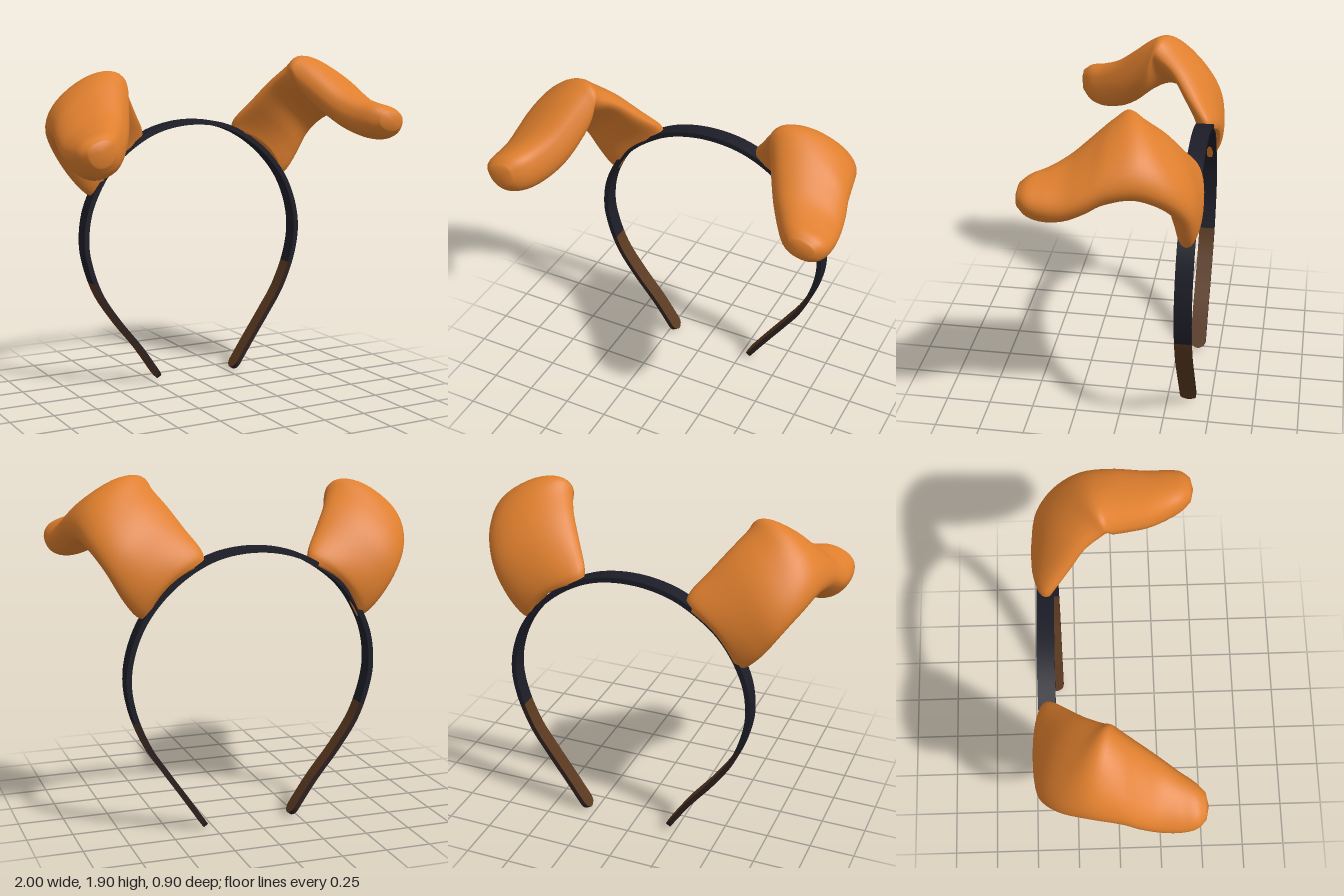
import * as THREE from 'three';
import { toCreasedNormals } from 'three/addons/utils/BufferGeometryUtils.js';

const mat = (name, color) => {
  const m = new THREE.MeshStandardMaterial({ color });
  m.name = name;
  return m;
};

// Centre line of the headband in x, y
const BAND = [
  [-0.2, 0.02], [-0.33, 0.212], [-0.47, 0.39], [-0.58, 0.56], [-0.643, 0.74], [-0.66, 0.87],
  [-0.63, 1.06], [-0.5, 1.29], [-0.3, 1.445], [-0.15, 1.502], [0.02, 1.522], [0.2, 1.5],
  [0.35, 1.437], [0.5, 1.325], [0.62, 1.18], [0.69, 1.02], [0.715, 0.86], [0.69, 0.69],
  [0.61, 0.49], [0.52, 0.35], [0.4, 0.175], [0.29, 0.01],
];
const BAND_Z = -0.37;

// Ear sections: centre x y z | slope of width, half width, half thickness | fold angle, twist
const EAR = [
  [0.452, 1.321, -0.37, 0.71, 0.218, 0.06, 0, 0],
  [0.483, 1.37, -0.365, 0.71, 0.245, 0.075, 0, 0.06],
  [0.55, 1.465, -0.335, 0.71, 0.255, 0.085, 0.15, 0.22],
  [0.625, 1.59, -0.285, 0.7, 0.262, 0.09, 0.4, 0.38],
  [0.685, 1.685, -0.195, 0.65, 0.26, 0.105, 0.8, 0.4],
  [0.715, 1.735, -0.1, 0.58, 0.25, 0.118, 1.2, 0.2],
  [0.737, 1.705, 0, 0.52, 0.242, 0.116, 1.5, 0],
  [0.775, 1.64, 0.1, 0.47, 0.22, 0.106, 1.57, 0],
  [0.81, 1.583, 0.2, 0.41, 0.192, 0.098, 1.57, 0],
  [0.845, 1.556, 0.3, 0.33, 0.155, 0.092, 1.57, 0],
  [0.865, 1.555, 0.38, 0.27, 0.118, 0.078, 1.57, 0],
  [0.87, 1.556, 0.43, 0.22, 0.07, 0.046, 1.57, 0],
];

// Rectangular strip along the path between t0 and t1; group 0 = broad faces, group 1 = edges
function bandGeometry(path, t0, t1, steps) {
  const rings = [];
  for (let i = 0; i <= steps; i++) {
    const t = t0 + (t1 - t0) * (i / steps);
    const p = path.getPointAt(t), d = path.getTangentAt(t);
    const n = new THREE.Vector3(-d.y, d.x, 0).multiplyScalar(0.014);
    // rounded tips
    const e = Math.min(1, Math.min(t, 1 - t) / 0.012);
    const h = 0.046 * Math.sqrt(Math.max(0.04, 1 - (1 - e) ** 2));
    rings.push([[1, 1], [1, -1], [-1, -1], [-1, 1]].map(([a, b]) =>
      new THREE.Vector3(p.x + a * n.x, p.y + a * n.y, BAND_Z + b * h)));
  }
  const pts = [];
  const quad = (a, b, c, d) => pts.push(a, b, c, a, c, d);
  const side = (k) => {
    for (let i = 0; i < steps; i++) {
      const r = rings[i], s = rings[i + 1], m = (k + 1) % 4;
      quad(r[k], s[k], s[m], r[m]);
    }
  };
  side(0); side(2);
  const broad = pts.length;
  side(1); side(3);
  quad(...rings[0]);
  quad(...rings[steps].slice().reverse());
  const g = toCreasedNormals(new THREE.BufferGeometry().setFromPoints(pts), 0.6);
  g.addGroup(0, broad, 0);
  g.addGroup(broad, pts.length - broad, 1);
  return g;
}

// Smooth folded ear lofted through the sections; sag thickens the underside of the flap
function earGeometry(mirrored, sag) {
  const spline = (f) => new THREE.CatmullRomCurve3(
    EAR.map((s) => new THREE.Vector3(...f(s))), false, 'catmullrom');
  const centre = spline((s) => s.slice(0, 3));
  const size = spline((s) => s.slice(3, 6));
  const turn = spline((s) => [s[6], s[7], 0]);
  const rows = 55, cols = 36, pos = [], idx = [];
  const full = (v) => Math.sign(v) * Math.abs(v) ** 0.88;

  // the opposite ear is mirrored and tipped a little about the band's middle
  const put = (v) => {
    if (mirrored) {
      const x = -(v.x - 0.028), y = v.y - 0.86, c = Math.cos(0.1), s = Math.sin(0.1);
      v.set(0.028 + x * c - y * s, 0.86 + x * s + y * c, v.z - 0.006);
    }
    pos.push(v.x, v.y, v.z);
  };
  const tri = (a, b, c) => (mirrored ? idx.push(a, c, b) : idx.push(a, b, c));

  for (let i = 0; i <= rows; i++) {
    const t = i / rows, c = centre.getPoint(t), s = size.getPoint(t), q = turn.getPoint(t);
    const w = new THREE.Vector3(Math.cos(s.x), -Math.sin(s.x), -q.y).normalize();
    const up = new THREE.Vector3(Math.sin(s.x), Math.cos(s.x), 0);
    const th = up.clone().multiplyScalar(Math.sin(q.x));
    th.z = -Math.cos(q.x);
    const cup = 0.025 * Math.max(0, Math.sin(Math.PI * t / 0.6));
    const bow = 0.06 * Math.max(0, 1 - t / 0.35); // base follows the band's arch
    const under = 1 + sag * THREE.MathUtils.smoothstep(t, 0.4, 0.7);
    for (let j = 0; j < cols; j++) {
      const a = (j / cols) * Math.PI * 2, cx = full(Math.cos(a)), cy = full(Math.sin(a));
      put(c.clone().addScaledVector(w, s.y * cx)
        .addScaledVector(th, s.z * cy * (cy < 0 ? under : 1) - cup * (cx * cx - 0.5))
        .addScaledVector(up, bow * (1 - cx * cx)));
    }
  }
  for (let i = 0; i < rows; i++) for (let j = 0; j < cols; j++) {
    const a = i * cols + j, b = i * cols + (j + 1) % cols;
    tri(a, b, b + cols);
    tri(a, b + cols, a + cols);
  }
  // close the base and the tip
  const base = pos.length / 3, last = rows * cols;
  put(new THREE.Vector3(0.491, 1.367, -0.37));
  put(new THREE.Vector3(0.87, 1.554, 0.445));
  for (let j = 0; j < cols; j++) {
    const k = (j + 1) % cols;
    tri(base, k, j);
    tri(base + 1, last + j, last + k);
  }
  const g = new THREE.BufferGeometry();
  g.setAttribute('position', new THREE.Float32BufferAttribute(pos, 3));
  g.setIndex(idx);
  g.computeVertexNormals();
  return g;
}

export function createModel() {
  const group = new THREE.Group();
  const navy = mat('bandNavy', 0x1d1d28);
  const brown = mat('tipBrown', 0x59381f);
  const darkBrown = mat('tipEdgeBrown', 0x2e2020);
  const orange = mat('earOrange', 0xdf7f2e);
  const add = (name, geometry, material) => {
    const m = new THREE.Mesh(geometry, material);
    m.name = name;
    group.add(m);
  };

  // Headband: dark arch with brown tips
  const path = new THREE.CatmullRomCurve3(BAND.map(([x, y]) => new THREE.Vector3(x, y, 0)));
  path.arcLengthDivisions = 600;
  let t0 = 0, t1 = 1;
  while (path.getPointAt(t0).y < 0.63) t0 += 0.002;
  while (path.getPointAt(t1).y < 0.63) t1 -= 0.002;
  add('headbandArch', bandGeometry(path, t0, t1, 90), [navy, navy]);
  add('rightBandTip', bandGeometry(path, 0, t0, 50), [brown, darkBrown]);
  add('leftBandTip', bandGeometry(path, t1, 1, 50), [brown, darkBrown]);

  // Floppy ears
  add('leftEar', earGeometry(false, 0.2), orange);
  add('rightEar', earGeometry(true, 0.75), orange);
  return group;
}
